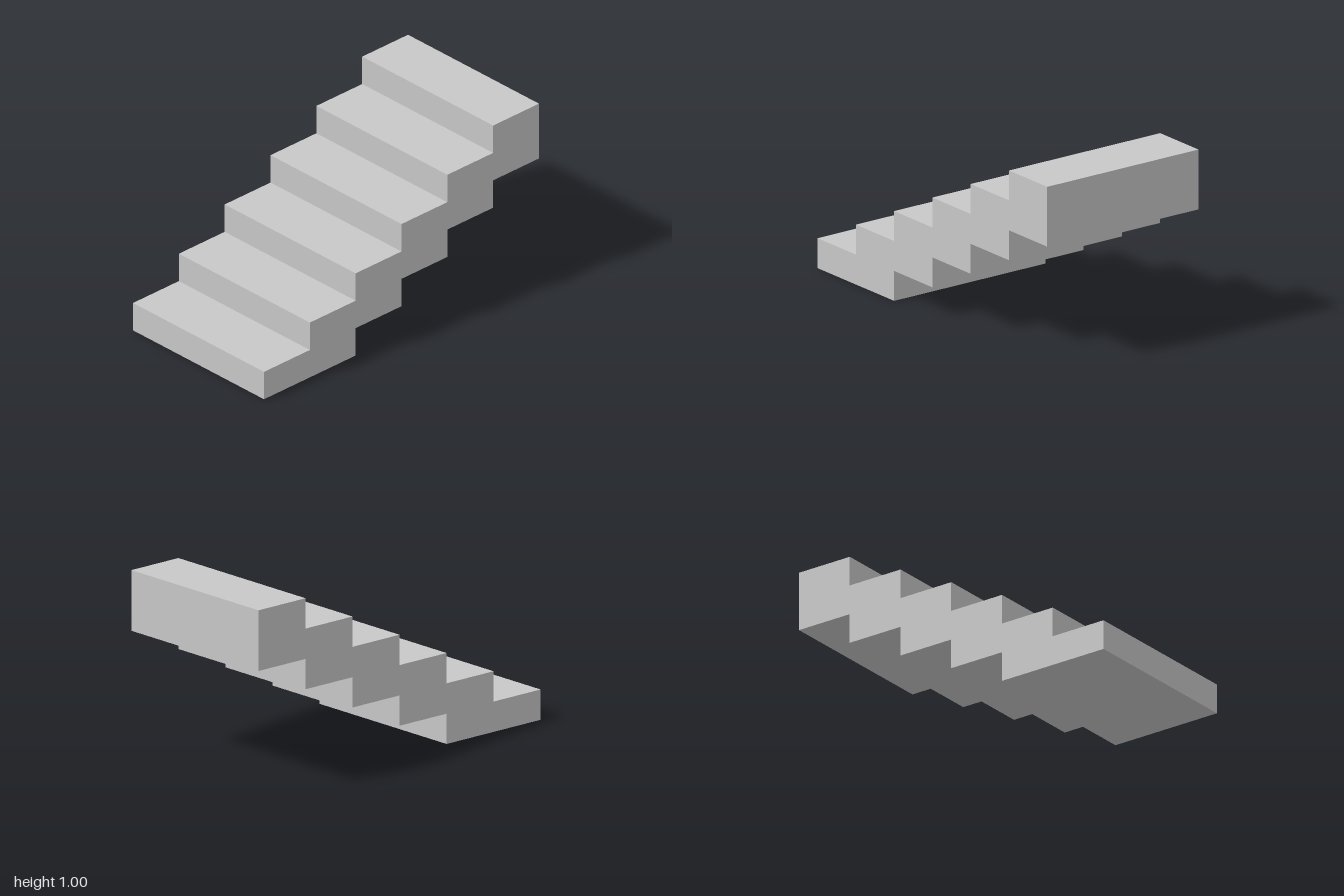
import * as THREE from 'three';

const STEPS = 6;
const WIDTH = 1;
const RUN = 2 / STEPS;
const RISE = 1 / STEPS;

export function createModel() {
  const group = new THREE.Group();
  group.name = 'staircase';

  const stone = new THREE.MeshStandardMaterial({ color: 0xc8c8c8 });
  stone.name = 'light grey';

  // Side profile: treads and risers going up, then the stepped underside coming back down
  const points = [new THREE.Vector2(-1, 0)];
  for (let i = 0; i < STEPS; i++) {
    const top = (i + 1) * RISE;
    points.push(new THREE.Vector2(-1 + i * RUN, top), new THREE.Vector2(-1 + (i + 1) * RUN, top));
  }
  for (let i = STEPS - 1; i >= 1; i--) {
    const bottom = (i - 1) * RISE;
    points.push(new THREE.Vector2(-1 + (i + 1) * RUN, bottom));
    if (i > 1) points.push(new THREE.Vector2(-1 + i * RUN, bottom));
  }

  // Extrude across the width, then turn the profile so the stairs climb towards the back
  const geometry = new THREE.ExtrudeGeometry(new THREE.Shape(points), { depth: WIDTH, bevelEnabled: false });
  geometry.translate(0, 0, -WIDTH / 2);
  geometry.rotateY(Math.PI / 2);

  const stairs = new THREE.Mesh(geometry, stone);
  stairs.name = 'stairFlight';
  group.add(stairs);
  return group;
}
